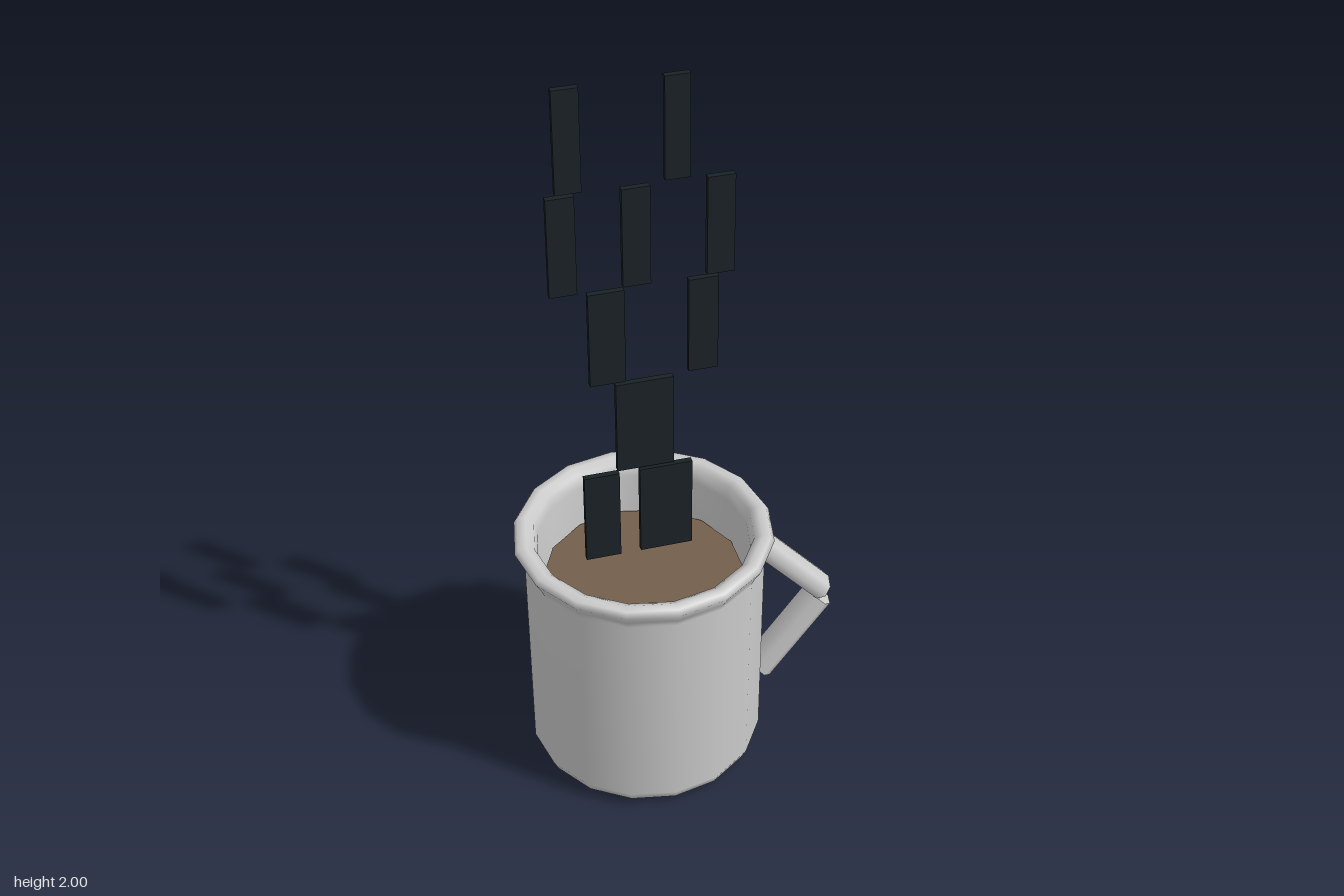
import * as THREE from 'three';

const CUP_X = -0.093;
const clay = new THREE.MeshStandardMaterial({ color: 0xcccccc });
const coffeeBrown = new THREE.MeshStandardMaterial({ color: 0x745e4b });
const steamBlack = new THREE.MeshStandardMaterial({ color: 0x1a2226 });

function addMesh(parent, name, geometry, material) {
  const mesh = new THREE.Mesh(geometry, material);
  mesh.name = name;
  parent.add(mesh);
  return mesh;
}

// Flattened octagonal bar between two points in the z = 0 plane
function addHandleBar(parent, name, from, to) {
  const a = new THREE.Vector3(...from, 0), b = new THREE.Vector3(...to, 0);
  const dir = b.clone().sub(a);
  const geometry = new THREE.CylinderGeometry(0.052, 0.052, dir.length(), 8);
  geometry.scale(0.68, 1, 1);
  const bar = addMesh(parent, name, geometry, clay);
  bar.position.copy(a).add(b).multiplyScalar(0.5);
  bar.rotation.z = Math.atan2(-dir.x, dir.y);
}

export function createModel() {
  const model = new THREE.Group();
  model.name = 'steamingMug';

  // Mug: closed profile from the underside, over the flared rim, to the inner floor
  const profile = [
    [0, 0], [0.275, 0.005], [0.3, 0.02], [0.314, 0.05], [0.316, 0.65],
    [0.325, 0.672], [0.341, 0.7], [0.332, 0.715], [0.31, 0.717], [0.288, 0.705],
    [0.28, 0.67], [0.272, 0.5], [0.265, 0.06], [0, 0.05],
  ].map(([r, y]) => new THREE.Vector2(r, y));
  const mug = addMesh(model, 'mug', new THREE.LatheGeometry(profile, 16), clay);
  mug.position.x = CUP_X;

  // Coffee surface
  const disc = new THREE.CircleGeometry(0.265, 14, Math.PI / 2).rotateX(-Math.PI / 2);
  const coffee = addMesh(model, 'coffee', disc, coffeeBrown);
  coffee.position.set(CUP_X, 0.56, 0);

  // Angular handle
  const handle = new THREE.Group();
  handle.name = 'handle';
  model.add(handle);
  addHandleBar(handle, 'upperHandleBar', [0.402, 0.4], [0.232, 0.587]);
  addHandleBar(handle, 'lowerHandleBar', [0.235, 0.149], [0.402, 0.372]);

  // Steam: rows of thin upright panels, each given as [left, right]
  const steam = new THREE.Group();
  steam.name = 'steam';
  model.add(steam);
  const rows = [
    [[-0.247, -0.155], [-0.102, 0.036]],
    [[-0.16, -0.013]],
    [[-0.224, -0.134], [0.025, 0.1]],
    [[-0.316, -0.248], [-0.137, -0.068], [0.07, 0.138]],
    [[-0.293, -0.23], [-0.033, 0.028]],
  ];
  rows.forEach((row, i) => row.forEach(([left, right]) => {
    const panel = addMesh(steam, 'steamPanel',
      new THREE.BoxGeometry(right - left, 0.264, 0.016), steamBlack);
    panel.position.set((left + right) / 2, 0.778 + i * 0.2725, 0);
  }));

  return model;
}
